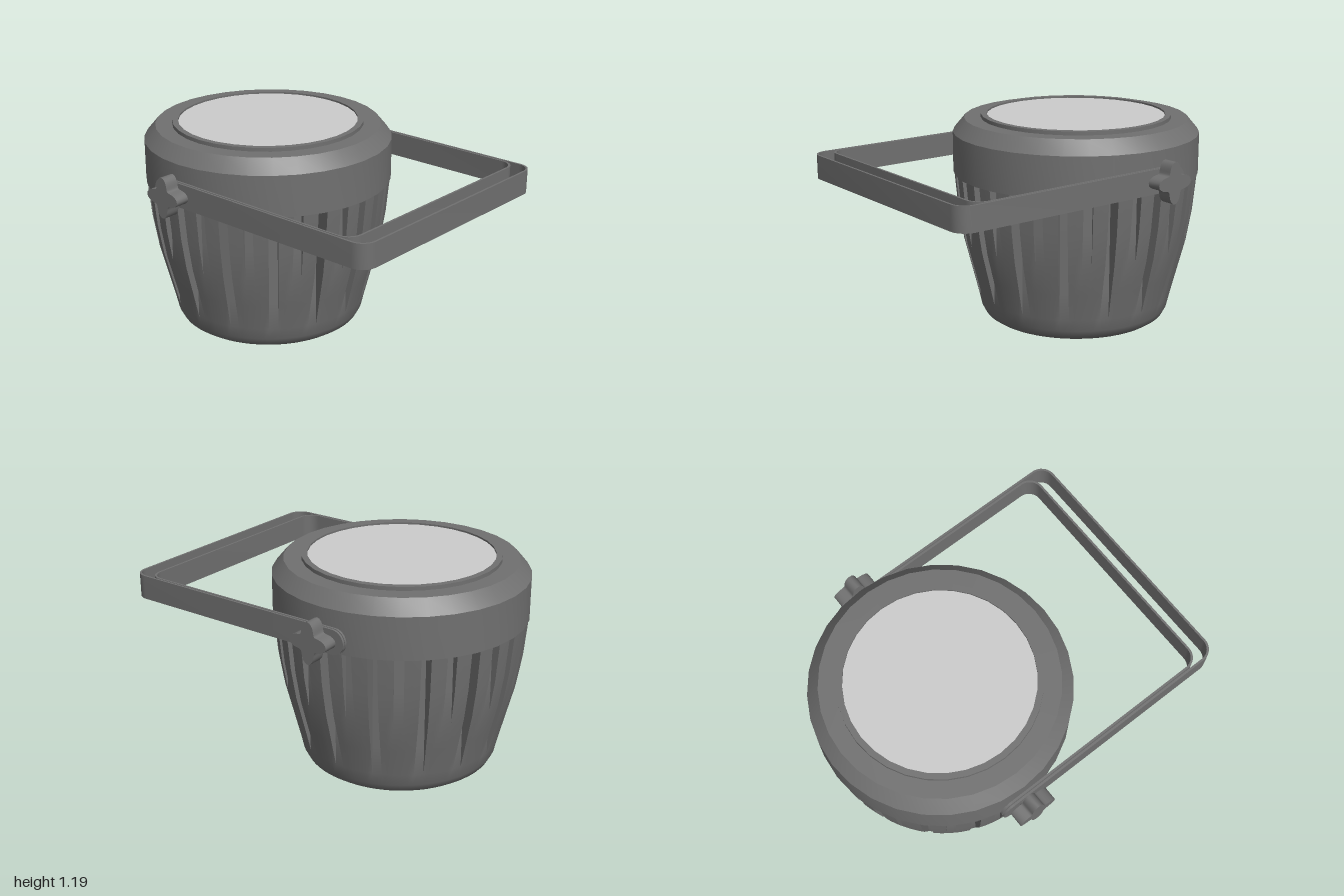
import * as THREE from 'three';
import { toCreasedNormals } from 'three/addons/utils/BufferGeometryUtils.js';

const dark = new THREE.MeshStandardMaterial({ color: 0x707070 });
const grey = new THREE.MeshStandardMaterial({ color: 0xcccccc });

function add(parent, name, geometry, material = dark) {
  const mesh = new THREE.Mesh(geometry, material);
  mesh.name = name;
  parent.add(mesh);
  return mesh;
}

// Tapered housing, cut by alternating long and short cooling grooves
function housingGeometry() {
  const profile = [[0, 0], [0.45, 0], [0.49, 0.006], [0.525, 0.03], [0.546, 0.07], [0.562, 0.14],
    [0.602, 0.3], [0.645, 0.47], [0.675, 0.65], [0.695, 0.865]];
  const grooves = 32, half = 0.026;
  const positions = [], index = [];
  for (const [r, y] of profile) {
    for (let g = 0; g < grooves; g++) {
      const a = (g / grooves) * Math.PI * 2;
      const floor = Math.min(r, g % 2 ? 0.645 : 0.562);
      const w = Math.min(half / Math.max(r, 0.5), 0.05), wf = Math.min(half / Math.max(floor, 0.5), 0.05);
      const section = [[r, a - w], [floor, a - wf], [floor, a + wf], [r, a + w], [r, a + Math.PI / grooves]];
      for (const [radius, t] of section) positions.push(radius * Math.sin(t), y, radius * Math.cos(t));
    }
  }
  const n = grooves * 5;
  for (let i = 0; i < profile.length - 1; i++) {
    for (let j = 0; j < n; j++) {
      const a = i * n + j, b = i * n + (j + 1) % n;
      index.push(a, b, b + n, a, b + n, a + n);
    }
  }
  const geometry = new THREE.BufferGeometry();
  geometry.setAttribute('position', new THREE.Float32BufferAttribute(positions, 3));
  geometry.setIndex(index);
  return toCreasedNormals(geometry, 0.6);
}

function lathe(points) {
  const geometry = new THREE.LatheGeometry(points.map(([r, y]) => new THREE.Vector2(r, y)), 32);
  return toCreasedNormals(geometry, 0.5);
}

// U-shaped flat strip with rounded corners and rounded arm ends
function bracketStrip(name, endX, halfZ) {
  const group = new THREE.Group();
  group.name = name;
  const thick = 0.012, height = 0.135, armX = -0.385, radius = 0.085;
  const outline = (x, z, r) => {
    const points = [[armX, -z]];
    for (const side of [-1, 1]) {
      for (let k = 0; k <= 8; k++) {
        const t = (side < 0 ? -Math.PI / 2 : 0) + (k / 8) * Math.PI / 2;
        points.push([x - r + r * Math.cos(t), side * (z - r) + r * Math.sin(t)]);
      }
    }
    points.push([armX, z]);
    return points;
  };
  const loop = [...outline(endX, halfZ, radius),
    ...outline(endX - thick, halfZ - thick, radius - thick).reverse()];
  const shape = new THREE.Shape(loop.map(([x, z]) => new THREE.Vector2(x, z)));
  const strip = new THREE.ExtrudeGeometry(shape, { depth: height, bevelEnabled: false });
  strip.rotateX(-Math.PI / 2);
  strip.translate(0, 0.87, 0);
  add(group, 'strip', toCreasedNormals(strip, 0.5));
  for (const side of [-1, 1]) {
    const end = new THREE.Shape();
    end.absarc(0, 0, height / 2, Math.PI / 2, Math.PI * 1.5, false);
    const geometry = new THREE.ExtrudeGeometry(end, { depth: thick, bevelEnabled: false, curveSegments: 12 });
    geometry.translate(armX, 0.87 + height / 2, side * (halfZ - thick / 2) - thick / 2);
    add(group, 'armEnd', toCreasedNormals(geometry, 0.5));
  }
  return group;
}

// Four-lobed clamping knob
function knobGeometry() {
  const points = [];
  for (let k = 0; k < 48; k++) {
    const t = (k / 48) * Math.PI * 2;
    const r = 0.088 + 0.027 * Math.cos(4 * t);
    points.push(new THREE.Vector2(r * Math.cos(t), r * Math.sin(t)));
  }
  const geometry = new THREE.ExtrudeGeometry(new THREE.Shape(points), { depth: 0.08, bevelEnabled: false });
  geometry.translate(0, 0, -0.04);
  return toCreasedNormals(geometry, 0.8);
}

export function createModel() {
  const model = new THREE.Group();
  model.name = 'floodlight';

  // Lamp body
  const lamp = new THREE.Group();
  lamp.name = 'lamp';
  lamp.position.x = -0.3;
  model.add(lamp);
  add(lamp, 'finnedHousing', housingGeometry());
  add(lamp, 'headRing', lathe([[0, 0.862], [0.7, 0.862], [0.7, 1.095], [0.635, 1.172], [0.54, 1.172],
    [0.54, 1.193], [0.507, 1.193], [0.507, 1.175]]));
  const lens = add(lamp, 'lens', new THREE.CircleGeometry(0.508, 32), grey);
  lens.rotation.x = -Math.PI / 2;
  lens.position.y = 1.183;

  // Mounting bracket of two nested strips
  const bracket = new THREE.Group();
  bracket.name = 'bracket';
  bracket.add(bracketStrip('outerStrip', 1, 0.731), bracketStrip('innerStrip', 0.9, 0.714));
  model.add(bracket);

  // Pivot bolts and knobs on both sides
  const knob = knobGeometry();
  for (const side of [-1, 1]) {
    add(model, 'knob', knob).position.set(-0.3, 0.94, side * 0.781);
    const bolt = add(model, 'pivotBolt', new THREE.CylinderGeometry(0.045, 0.045, 0.09, 20));
    bolt.rotation.x = Math.PI / 2;
    bolt.position.set(-0.3, 0.94, side * 0.715);
  }
  return model;
}
